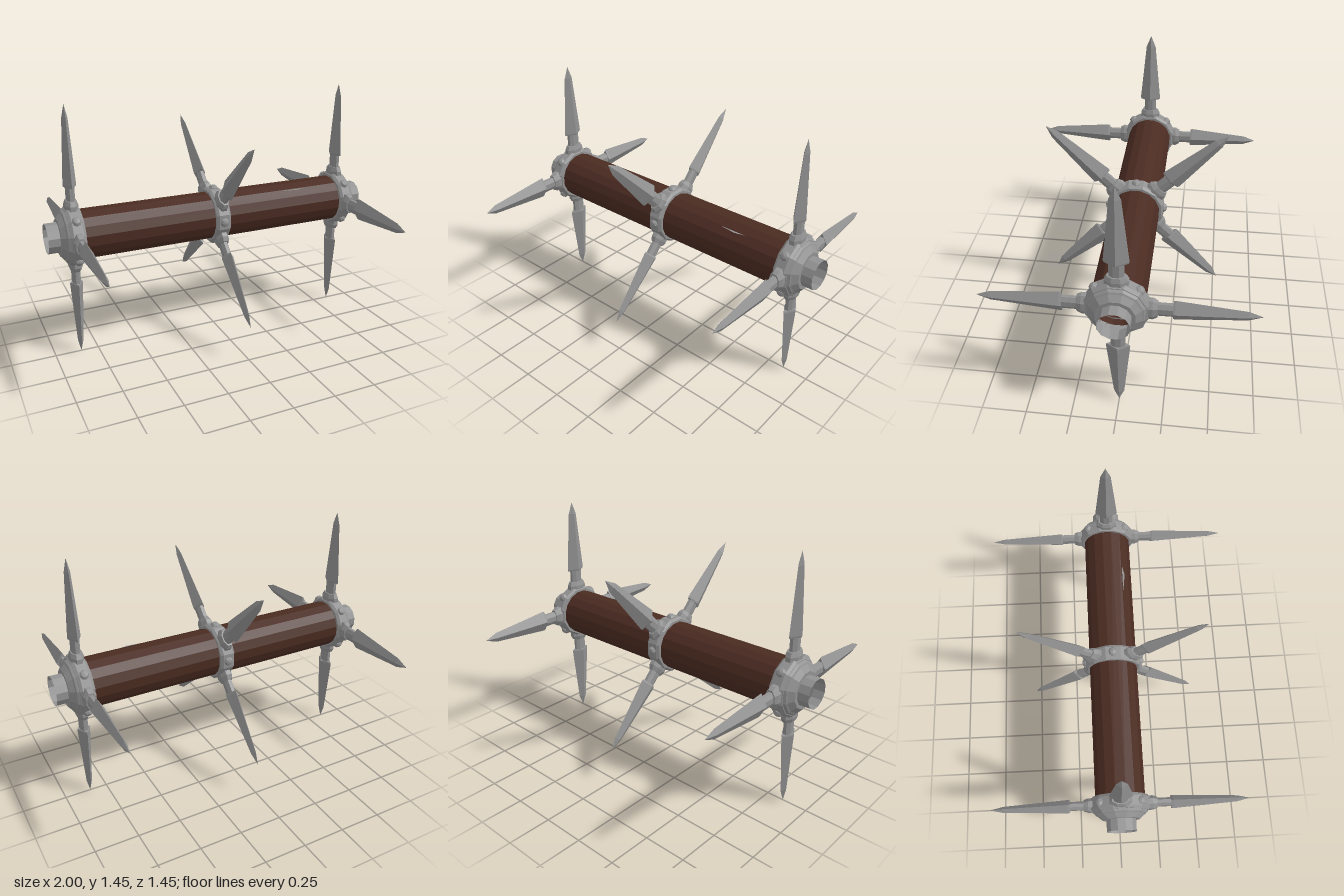
import * as THREE from 'three';

const CENTER_Y = 0.73;

const steel = new THREE.MeshStandardMaterial({ color: 0x929292, flatShading: true, side: THREE.DoubleSide });
steel.name = 'steel';
const wood = new THREE.MeshStandardMaterial({ color: 0x4a2b21, flatShading: true, side: THREE.DoubleSide });
wood.name = 'dark wood';

// Turned profile of [radius, height] points around y
function lathe(name, points, sides, offset = 0) {
  const pts = points.map(([r, h]) => new THREE.Vector2(r, h));
  const mesh = new THREE.Mesh(new THREE.LatheGeometry(pts, sides, offset), steel);
  mesh.name = name;
  return mesh;
}

// Same profile laid along x, with a flat side on top
function latheX(name, points, sides) {
  const mesh = lathe(name, points, sides, Math.PI / sides);
  mesh.geometry.rotateZ(-Math.PI / 2);
  return mesh;
}

// Spike pointing along +y, measured from the roller axis
function spike() {
  const g = new THREE.Group();
  g.name = 'spike';
  const collar = lathe('spikeCollar', [[0.066, 0.14], [0.066, 0.18], [0.052, 0.205], [0, 0.205]], 8, Math.PI / 8);
  collar.scale.x = 0.6;
  const shaft = lathe('spikeShaft', [[0.041, 0.19], [0.041, 0.29]], 8, Math.PI / 8);
  shaft.scale.x = 0.6;
  const blade = lathe('spikeBlade', [[0, 0.282], [0.061, 0.282], [0.065, 0.292], [0.029, 0.655], [0, 0.727]], 4);
  blade.scale.x = 0.57;
  g.add(collar, shaft, blade);
  return g;
}

// Low domed rivet sitting on a band
function stud() {
  return lathe('stud', [[0.027, 0.15], [0.027, 0.168], [0.018, 0.18], [0, 0.185]], 8);
}

// Band with four spikes, and studs between them
function spikedBand(name, x, halfWidth, turn) {
  const g = new THREE.Group();
  g.name = name;
  const w = halfWidth;
  g.add(latheX('band', [[0.135, -w], [0.158, -w], [0.17, -w + 0.015], [0.17, w - 0.015], [0.158, w], [0.135, w]], 12));
  for (let i = 0; i < 4; i++) {
    const s = spike();
    s.rotation.x = turn + i * Math.PI / 2;
    const r = stud();
    r.rotation.x = turn + (i + 0.5) * Math.PI / 2;
    g.add(s, r);
  }
  g.position.x = x;
  return g;
}

export function createModel() {
  const model = new THREE.Group();
  model.name = 'spikedRoller';
  const body = new THREE.Group();
  body.name = 'roller';
  body.position.y = CENTER_Y;
  model.add(body);

  // Hollow wooden barrel
  const barrelGeo = new THREE.CylinderGeometry(0.142, 0.142, 1.7, 16, 1, true, Math.PI / 16);
  barrelGeo.rotateZ(Math.PI / 2);
  const barrel = new THREE.Mesh(barrelGeo, wood);
  barrel.name = 'barrel';
  body.add(barrel);

  // Bands: outer pair upright, middle one turned by an eighth
  body.add(spikedBand('leftBand', 0.85, 0.042, 0));
  body.add(spikedBand('middleBand', 0, 0.045, Math.PI / 4));
  body.add(spikedBand('rightBand', -0.85, 0.042, 0));

  // Sloped end caps, each with an open pipe
  for (const side of [1, -1]) {
    const end = latheX(side > 0 ? 'leftEndCap' : 'rightEndCap',
      [[0.158, 0.885], [0.145, 0.905], [0.135, 0.91], [0.105, 0.935], [0.085, 0.935], [0.085, 1]], 12);
    if (side < 0) end.rotation.y = Math.PI;
    body.add(end);
  }

  // Thin metal sliver lying in the top of the barrel
  const sliver = new THREE.Shape();
  sliver.moveTo(0.36, 0.073);
  sliver.lineTo(0.63, 0.073);
  sliver.lineTo(0.57, 0.086);
  sliver.lineTo(0.52, 0.097);
  sliver.lineTo(0.45, 0.089);
  const sliverGeo = new THREE.ShapeGeometry(sliver);
  sliverGeo.rotateX(Math.PI / 2);
  const sliverMesh = new THREE.Mesh(sliverGeo, steel);
  sliverMesh.name = 'sliver';
  sliverMesh.position.y = 0.114;
  body.add(sliverMesh);

  return model;
}
